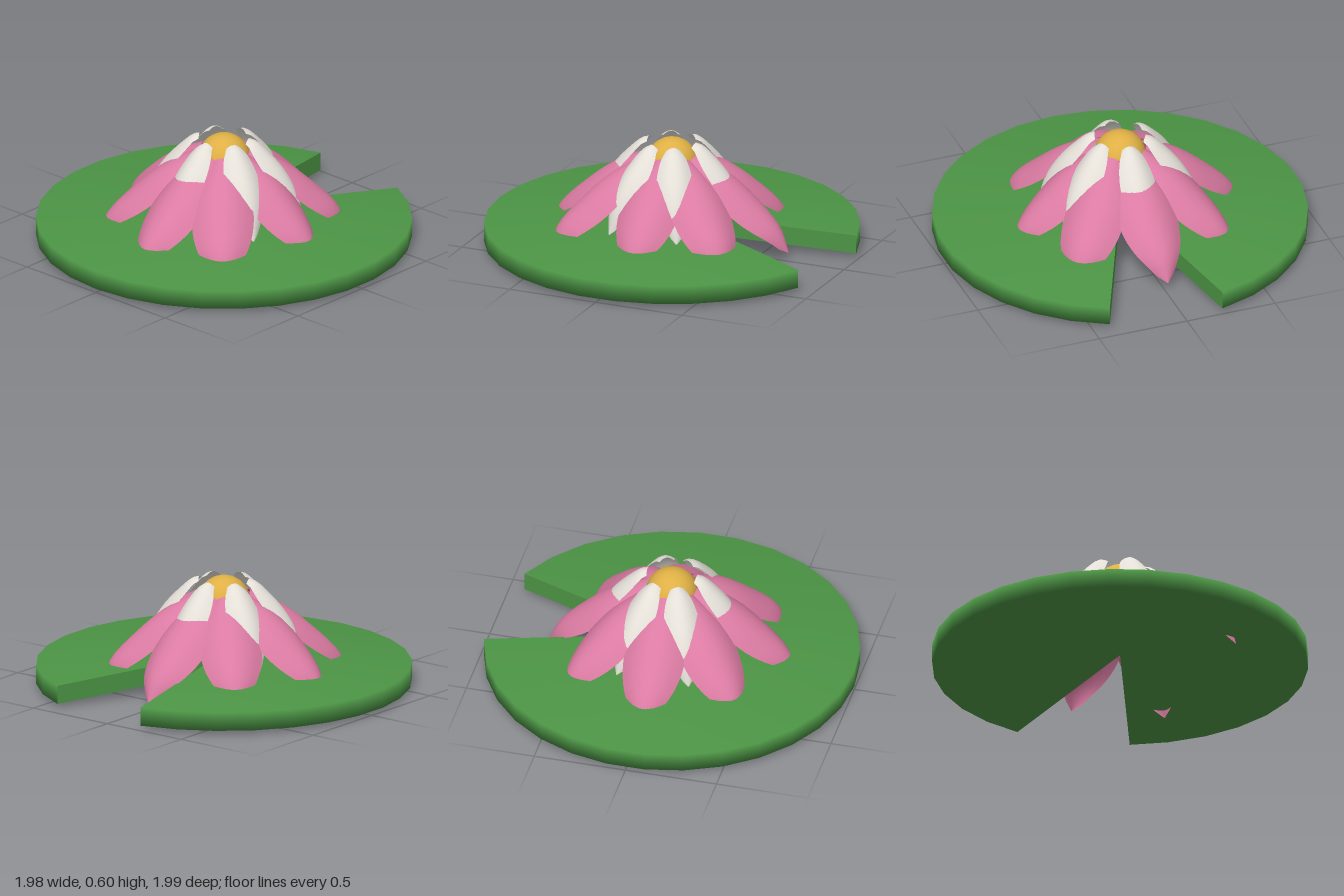
import * as THREE from 'three';
import { ParametricGeometry } from 'three/addons/geometries/ParametricGeometry.js';

const DEG = Math.PI / 180;

function material(name, color, side = THREE.DoubleSide) {
  const m = new THREE.MeshStandardMaterial({ color, side });
  m.name = name;
  return m;
}

// Drooping petal: a sheet swept along a radial path, arched across its width
function petalGeometry(points, halfWidth, arch) {
  const curve = new THREE.CatmullRomCurve3(points.map(([r, y]) => new THREE.Vector3(r, y, 0)));
  const geometry = new ParametricGeometry((u, v, target) => {
    const s = u * 2 - 1;
    const p = curve.getPointAt(v);
    const t = curve.getTangentAt(v);
    const w = halfWidth * Math.pow(Math.max(Math.sin(Math.PI * (0.08 + 0.92 * v)), 1e-4), 0.7);
    const sag = arch * w * s * s;
    target.set(p.x + t.y * sag, p.y - t.x * sag, s * w);
  }, 10, 18);
  geometry.computeVertexNormals();
  return geometry;
}

export function createModel() {
  const model = new THREE.Group();
  model.name = 'waterLily';
  const green = material('leaf green', 0x4c9445);
  const pink = material('petal pink', 0xdb7ba3);
  const white = material('petal white', 0xe4e0d8);
  const yellow = material('centre yellow', 0xdfb045, THREE.FrontSide);

  const add = (parent, name, geometry, mat) => {
    const mesh = new THREE.Mesh(geometry, mat);
    mesh.name = name;
    parent.add(mesh);
    return mesh;
  };

  // Notched lily pad: a shallow cone of even thickness, open between -12 and 24 degrees
  const section = [[0, 0.08], [1, 0.02], [1, 0.12], [0, 0.18]].map(([x, y]) => new THREE.Vector2(x, y));
  const pad = new THREE.Group();
  pad.name = 'lilyPad';
  model.add(pad);
  add(pad, 'padSurface', new THREE.LatheGeometry(section, 27, -258 * DEG, 324 * DEG), green);
  for (const angle of [24, -12]) {
    const wall = add(pad, 'notchWall', new THREE.ShapeGeometry(new THREE.Shape(section)), green);
    wall.rotation.y = -angle * DEG;
  }

  // Outer petals: [azimuth, reach, tip height]
  const outer = [
    [-1.5, 0.98, 0.04], [42, 0.97, 0.0], [87, 0.92, 0.05], [138, 1.01, 0.0],
    [178, 1.0, 0.05], [224, 0.98, 0.05], [270, 0.99, 0.05], [316, 0.98, 0.05],
  ];
  const outerPetals = new THREE.Group();
  outerPetals.name = 'outerPetals';
  model.add(outerPetals);
  for (const [angle, reach, tip] of outer) {
    const path = [[0.14, 0.52], [0.33, 0.425], [0.49, 0.3], [0.63, 0.16], [0.685, tip]];
    const geometry = petalGeometry(path.map(([r, y]) => [r * reach, y]), 0.165, 0.5);
    add(outerPetals, 'outerPetal', geometry, pink).rotation.y = -angle * DEG;
  }

  // Inner petals
  const innerPetals = new THREE.Group();
  innerPetals.name = 'innerPetals';
  model.add(innerPetals);
  const innerPath = [[0.135, 0.59], [0.17, 0.58], [0.24, 0.52], [0.33, 0.42], [0.4, 0.3], [0.44, 0.15]];
  const innerGeometry = petalGeometry(innerPath, 0.1, 0.5);
  for (const angle of [0, 63, 116, 180, 244, 298]) {
    add(innerPetals, 'innerPetal', innerGeometry, white).rotation.y = -angle * DEG;
  }

  // Flower centre
  add(model, 'flowerCentre', new THREE.SphereGeometry(0.14, 20, 14), yellow).position.y = 0.46;

  return model;
}
